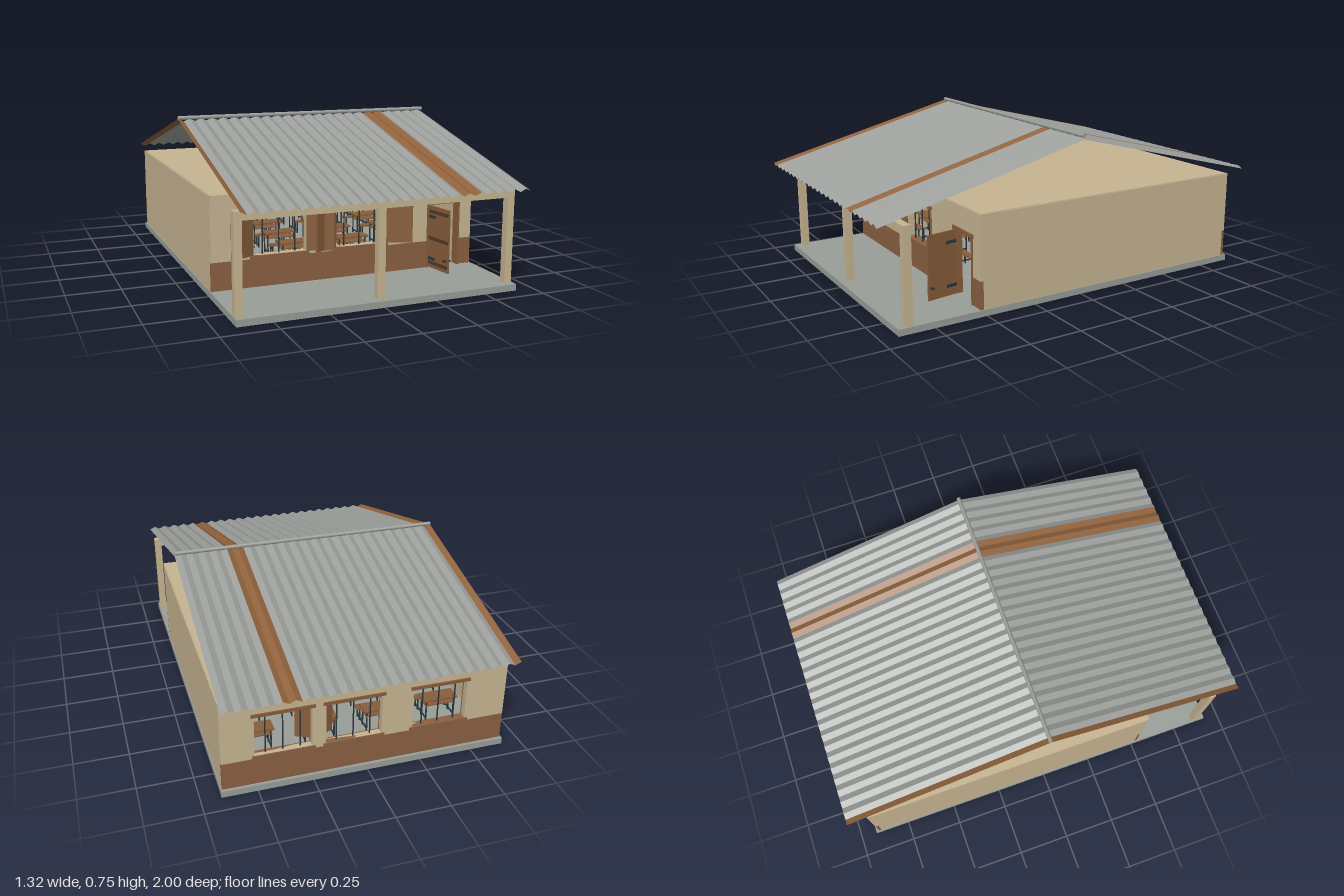
import * as THREE from 'three';

const mat = (name, color, side = THREE.FrontSide) => {
  const m = new THREE.MeshStandardMaterial({ color, side });
  m.name = name;
  return m;
};

export function createModel() {
  const root = new THREE.Group();
  root.name = 'schoolhouse';
  const plaster = mat('beige plaster', 0xc6b491);
  const brown = mat('brown paint', 0x8a6042);
  const wood = mat('wood', 0x875d3b);
  const concrete = mat('concrete', 0x989d98);
  const sheet = mat('grey roof sheet', 0x9a9d9a, THREE.DoubleSide);
  const rust = mat('brown roof sheet', 0x8f613b, THREE.DoubleSide);
  const metal = mat('dark metal', 0x2b363c);
  const darkWood = mat('dark wood', 0x4f3a2a);

  // Box given by its low and high corners
  const box = (name, m, x0, x1, y0, y1, z0, z1, parent = root) => {
    const mesh = new THREE.Mesh(new THREE.BoxGeometry(x1 - x0, y1 - y0, z1 - z0), m);
    mesh.position.set((x0 + x1) / 2, (y0 + y1) / 2, (z0 + z1) / 2);
    mesh.name = name;
    parent.add(mesh);
    return mesh;
  };

  // Floor slab, side walls and flat ceiling
  box('floorSlab', concrete, -0.66, 0.66, 0, 0.03, -0.92, 0.92);
  for (const s of [-1, 1]) box('sideWall', plaster, s * 0.64 - 0.015, s * 0.64 + 0.015, 0.03, 0.457, -0.89, 0.515);
  box('ceiling', plaster, -0.65, 0.65, 0.45, 0.46, -0.9, 0.525);

  // Porch posts and beam
  for (const x of [-0.637, 0, 0.637]) box('porchPost', plaster, x - 0.0175, x + 0.0175, 0.03, 0.425, 0.85, 0.885);
  box('porchBeam', plaster, -0.655, 0.655, 0.425, 0.465, 0.85, 0.885);

  // Upper wall with window holes, optionally notched for the door
  const W = 0.654, winHalf = 0.127, low = 0.16, sill = 0.175, head = 0.37;
  const door = [0.42, 0.582, 0.34];
  const upperWall = (name, windows, z0, z1, hasDoor) => {
    const s = new THREE.Shape();
    s.moveTo(-W, low);
    if (hasDoor) {
      s.lineTo(door[0], low);
      s.lineTo(door[0], door[2]);
      s.lineTo(door[1], door[2]);
      s.lineTo(door[1], low);
    }
    s.lineTo(W, low);
    s.lineTo(W, 0.459);
    s.lineTo(-W, 0.459);
    s.closePath();
    for (const c of windows) {
      const h = new THREE.Path();
      h.moveTo(c - winHalf, sill);
      h.lineTo(c - winHalf, head);
      h.lineTo(c + winHalf, head);
      h.lineTo(c + winHalf, sill);
      h.closePath();
      s.holes.push(h);
    }
    const mesh = new THREE.Mesh(new THREE.ExtrudeGeometry(s, { depth: z1 - z0, bevelEnabled: false }), plaster);
    mesh.position.z = z0;
    mesh.name = name;
    root.add(mesh);
  };

  // Leaf hinged at x, z and swung towards dx, dz
  const leaf = (name, x, z, y0, y1, dx, dz) => {
    const g = new THREE.Group();
    g.name = name;
    g.position.set(x, 0, z);
    g.rotation.y = -Math.atan2(dz, dx);
    root.add(g);
    box(name + 'Panel', wood, 0, Math.hypot(dx, dz), y0, y1, -0.004, 0.004, g);
    return g;
  };

  // Window fittings: sill, lintel, bars and a pair of open shutters
  const fitWindow = (c, z0, z1, shutterZ) => {
    box('windowSill', brown, c - 0.14, c + 0.14, low, sill, z0 - 0.006, z1 + 0.006);
    box('windowLintel', wood, c - 0.14, c + 0.14, head, 0.385, z0 - 0.006, z1 + 0.006);
    const zm = (z0 + z1) / 2;
    for (const d of [-0.077, 0, 0.077]) box('windowBar', metal, c + d - 0.0025, c + d + 0.0025, sill, head, zm - 0.0025, zm + 0.0025);
    for (const s of [-1, 1]) leaf('shutter', c + s * winHalf, shutterZ, sill + 0.002, head - 0.003, s * 0.115, 0.055);
  };

  // Front wall
  const frontWindows = [-0.334, 0.064];
  upperWall('frontWall', frontWindows, 0.495, 0.53, true);
  box('frontWainscot', brown, -W, door[0], 0.03, low, 0.495, 0.53);
  box('frontWainscot', brown, door[1], W, 0.03, low, 0.495, 0.53);
  for (const c of frontWindows) fitWindow(c, 0.495, 0.53, 0.532);

  // Back wall, its shutters open into the room
  const backWindows = [-0.334, 0.064, 0.38];
  upperWall('backWall', backWindows, -0.905, -0.875, false);
  box('backWainscot', brown, -W, W, 0.03, low, -0.905, -0.875);
  for (const c of backWindows) fitWindow(c, -0.905, -0.875, -0.873);

  // Door frame and open door
  box('doorLintel', wood, 0.41, 0.595, 0.337, 0.355, 0.49, 0.536);
  box('doorJamb', wood, 0.413, 0.423, 0.03, 0.337, 0.491, 0.535);
  box('doorJamb', wood, 0.579, 0.589, 0.03, 0.337, 0.491, 0.535);
  const doorLeaf = leaf('door', 0.427, 0.532, 0.034, 0.336, 0.022, 0.147);
  for (const y of [0.08, 0.285]) box('doorHinge', metal, -0.004, 0.05, y - 0.007, y + 0.007, -0.007, 0.007, doorLeaf);
  box('doorHandle', metal, 0.125, 0.14, 0.088, 0.096, -0.018, 0.018, doorLeaf);
  for (const y of [0.06, 0.18, 0.31]) box('doorLedge', darkWood, 0.005, 0.145, y - 0.008, y + 0.008, 0.004, 0.008, doorLeaf);

  // Desks with benches
  const desk = (x, z) => {
    const g = new THREE.Group();
    g.name = 'desk';
    g.position.set(x, 0.03, z);
    root.add(g);
    box('deskTop', wood, -0.085, 0.085, 0.105, 0.113, -0.045, 0.03, g);
    box('deskShelf', wood, -0.075, 0.075, 0.08, 0.085, -0.04, 0.02, g);
    box('benchSeat', wood, -0.085, 0.085, 0.06, 0.067, 0.055, 0.095, g);
    for (const lx of [-0.07, 0.07]) {
      for (const [lz, h] of [[-0.035, 0.105], [0.02, 0.105], [0.06, 0.06], [0.09, 0.06]]) {
        box('deskLeg', metal, lx - 0.003, lx + 0.003, 0, h, lz - 0.003, lz + 0.003, g);
      }
      box('deskRail', metal, lx - 0.003, lx + 0.003, 0.012, 0.018, -0.035, 0.09, g);
    }
  };
  for (const x of [-0.45, -0.15, 0.15, 0.45]) for (let i = 0; i < 5; i++) desk(x, -0.65 + i * 0.22);

  // Folded roof sheets: one zigzag strip per facet, a few of them brown
  const N = 47, step = 1.32 / N;
  const brownFacets = [0, 35, 36, 37];
  const roof = (name, m, wanted) => {
    const p = [];
    for (let i = 0; i < N; i++) {
      if (!wanted(i)) continue;
      const x0 = -0.66 + i * step, x1 = x0 + step;
      const d0 = i % 2 ? -0.007 : 0.006, d1 = i % 2 ? 0.006 : -0.007;
      const top = 0.732, eave = 0.48;
      p.push(x0, top + d0, 0, x0, eave + d0, 1, x1, eave + d1, 1);
      p.push(x0, top + d0, 0, x1, eave + d1, 1, x1, top + d1, 0);
      p.push(x0, top + d0, 0, x1, eave + d1, -1, x0, eave + d0, -1);
      p.push(x0, top + d0, 0, x1, top + d1, 0, x1, eave + d1, -1);
    }
    const g = new THREE.BufferGeometry();
    g.setAttribute('position', new THREE.Float32BufferAttribute(p, 3));
    g.computeVertexNormals();
    const mesh = new THREE.Mesh(g, m);
    mesh.name = name;
    root.add(mesh);
  };
  roof('roofSheets', sheet, (i) => !brownFacets.includes(i));
  roof('brownRoofSheets', rust, (i) => brownFacets.includes(i));

  // Ridge cap
  const ridge = new THREE.Mesh(new THREE.CylinderGeometry(0.01, 0.01, 1.32, 8), sheet);
  ridge.rotation.z = Math.PI / 2;
  ridge.position.y = 0.741;
  ridge.name = 'ridgeCap';
  root.add(ridge);

  return root;
}
